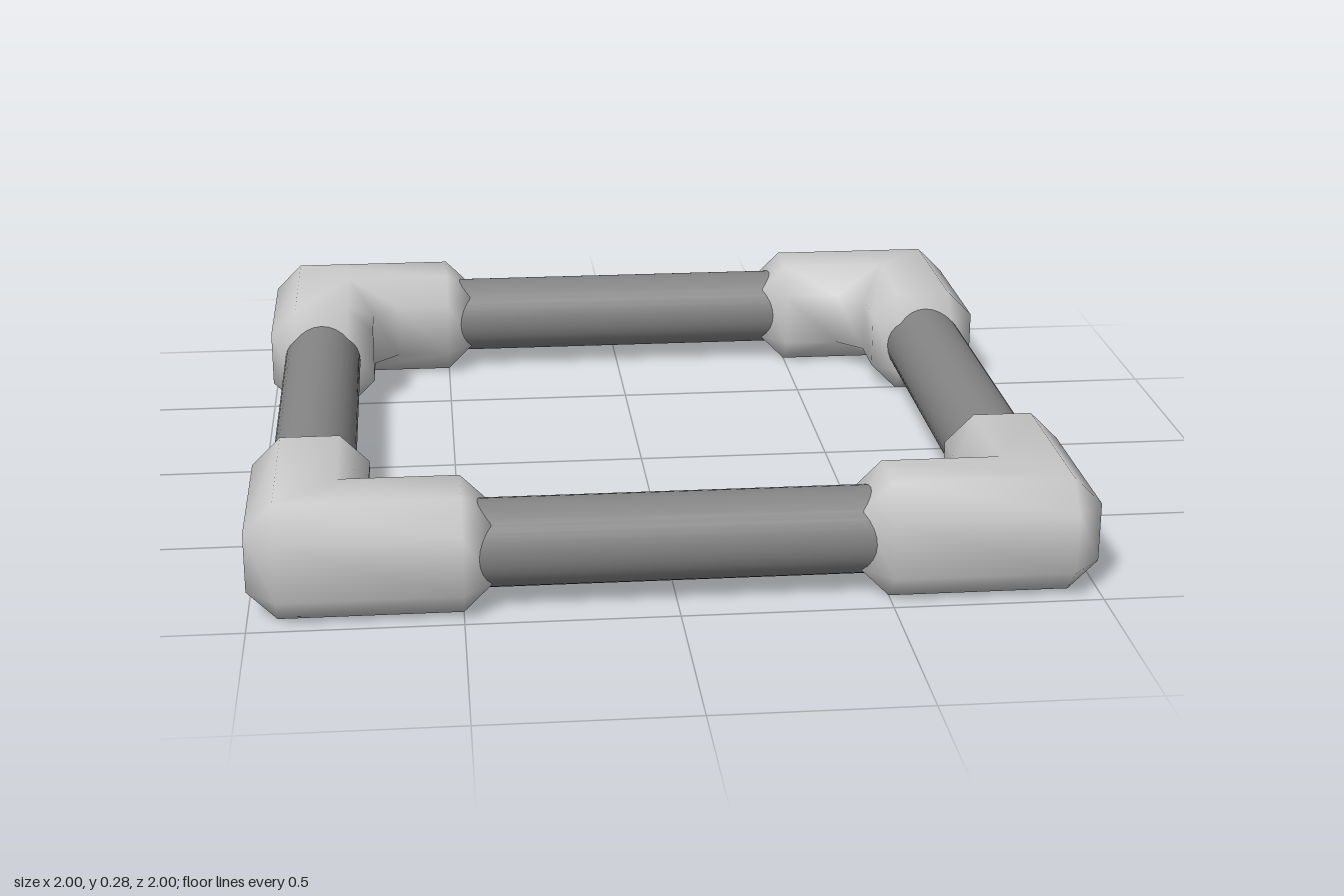
import * as THREE from 'three';

const HALF = 0.1425;          // half thickness of a corner fitting
const BEVEL = 0.07;
const AXIS = 1 - HALF;        // distance of the pipe axes from the centre
const END = 0.43;             // where the fitting arms stop
const PIPE_RADIUS = 0.105;

// L-shaped elbow with a single-step bevel on every edge, smooth shaded
function elbowGeometry() {
  const inner = 1 - 2 * HALF;
  // plan outline (x, z), counter-clockwise
  const outline = [[END, inner], [inner, inner], [inner, END], [1, END], [1, 1], [END, 1]]
    .map(([x, z]) => new THREE.Vector2(x, z));
  const n = outline.length;
  const cap = [], rim = [];
  outline.forEach((p, i) => {
    const toPrev = outline[(i + n - 1) % n].clone().sub(p).normalize();
    const toNext = outline[(i + 1) % n].clone().sub(p).normalize();
    const turn = -toPrev.cross(toNext) > 0 ? 1 : -1;
    // cap corner moves inwards; rim corner splits into a chamfer
    cap.push(p.clone().addScaledVector(toPrev.clone().add(toNext), BEVEL * turn));
    rim.push(p.clone().addScaledVector(toPrev, BEVEL), p.clone().addScaledVector(toNext, BEVEL));
  });

  const positions = [], index = [];
  const addRing = (points, y) => {
    const start = positions.length / 3;
    points.forEach(p => positions.push(p.x, y, p.y));
    return start;
  };
  const bottom = addRing(cap, 0);
  const low = addRing(rim, BEVEL);
  const high = addRing(rim, 2 * HALF - BEVEL);
  const top = addRing(cap, 2 * HALF);
  const quad = (a, b, c, d) => index.push(a, b, c, a, c, d);

  for (let i = 0; i < n; i++) {
    const j = (i + 1) % n;
    const r0 = 2 * i, r1 = 2 * i + 1, r2 = 2 * j;
    // corner chamfer and straight side
    quad(low + r0, high + r0, high + r1, low + r1);
    quad(low + r1, high + r1, high + r2, low + r2);
    // bevels up to the top cap and down to the bottom cap
    index.push(high + r0, top + i, high + r1);
    quad(high + r1, top + i, top + j, high + r2);
    index.push(low + r0, low + r1, bottom + i);
    quad(low + r1, low + r2, bottom + j, bottom + i);
  }
  // flat caps, oriented by their signed area
  for (const [a, b, c] of THREE.ShapeUtils.triangulateShape(cap, [])) {
    const area = cap[b].clone().sub(cap[a]).cross(cap[c].clone().sub(cap[a]));
    const [p, q] = area > 0 ? [b, c] : [c, b];
    index.push(bottom + a, bottom + p, bottom + q, top + a, top + q, top + p);
  }

  const geometry = new THREE.BufferGeometry();
  geometry.setAttribute('position', new THREE.Float32BufferAttribute(positions, 3));
  geometry.setIndex(index);
  geometry.computeVertexNormals();
  return geometry;
}

export function createModel() {
  const model = new THREE.Group();
  const fittingMaterial = new THREE.MeshStandardMaterial({ color: 0xcccccc });
  const pipeMaterial = new THREE.MeshStandardMaterial({ color: 0x848484 });
  const elbow = elbowGeometry();
  const pipe = new THREE.CylinderGeometry(PIPE_RADIUS, PIPE_RADIUS, 1.5, 32, 1, true);
  pipe.rotateZ(Math.PI / 2);
  pipe.translate(0, HALF, AXIS);

  // one pipe and one elbow per quarter turn
  const sides = ['front', 'left', 'back', 'right'];
  const corners = ['frontLeft', 'backLeft', 'backRight', 'frontRight'];
  for (let i = 0; i < 4; i++) {
    const pipeMesh = new THREE.Mesh(pipe, pipeMaterial);
    pipeMesh.name = sides[i] + 'Pipe';
    const elbowMesh = new THREE.Mesh(elbow, fittingMaterial);
    elbowMesh.name = corners[i] + 'Elbow';
    pipeMesh.rotation.y = elbowMesh.rotation.y = i * Math.PI / 2;
    model.add(pipeMesh, elbowMesh);
  }
  return model;
}
